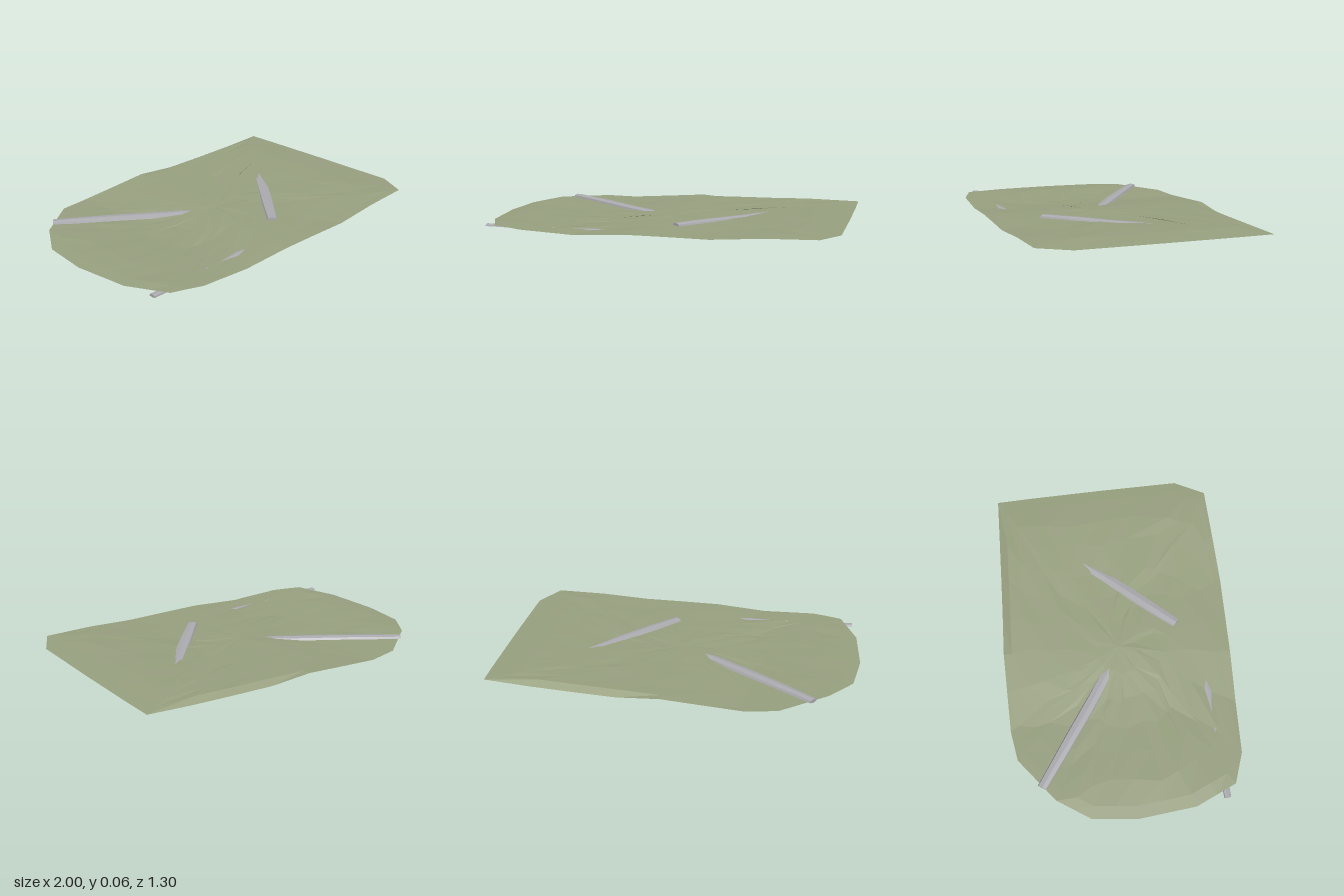
import * as THREE from 'three';

// Height of the ground along x, as straight runs between a few points
const RIDGE = [[-1, 0.011], [-0.85, 0.025], [-0.4, 0.008], [-0.05, 0.034], [0.35, 0.036], [0.78, 0.056], [1, 0.045]];
const OUTLINE = [
  [0.99, -0.61], [0.995, -0.42], [1, 0], [1, 0.46], [0.91, 0.63], [0.35, 0.645], [-0.1, 0.635],
  [-0.7, 0.61], [-0.87, 0.55], [-0.97, 0.32], [-1, 0], [-0.97, -0.26], [-0.85, -0.44],
  [-0.6, -0.63], [-0.43, -0.655], [0.02, -0.655], [0.5, -0.632],
];

function groundHeight(x, z) {
  let i = 0;
  while (i < RIDGE.length - 2 && x > RIDGE[i + 1][0]) i++;
  const [x0, y0] = RIDGE[i], [x1, y1] = RIDGE[i + 1];
  const y = THREE.MathUtils.lerp(y0, y1, THREE.MathUtils.clamp((x - x0) / (x1 - x0), 0, 1));
  // the middle of the patch rises toward the back
  return y - z * 0.018 * Math.max(0, 1 - Math.abs(x - 0.3) / 0.6);
}

// Surface from rows of points joined in strips
function loft(rows, closed) {
  const n = rows[0].length, index = [];
  for (let r = 0; r < rows.length - 1; r++) {
    for (let i = 0; i < (closed ? n : n - 1); i++) {
      const a = r * n + i, b = r * n + (i + 1) % n;
      index.push(a, a + n, b, b, a + n, b + n);
    }
  }
  const g = new THREE.BufferGeometry();
  g.setAttribute('position', new THREE.Float32BufferAttribute(rows.flat(2), 3));
  g.setIndex(index);
  const flat = g.toNonIndexed();
  flat.computeVertexNormals();
  return flat;
}

// Thin uneven patch: the outline shrunk in rings toward the centre
function groundGeometry() {
  let seed = 7;
  const rand = () => ((seed = (seed * 16807) % 2147483647) / 2147483647) - 0.5;
  const edge = [];
  OUTLINE.forEach(([x, z], i) => {
    const [nx, nz] = OUTLINE[(i + 1) % OUTLINE.length];
    edge.push([x, z], [(x + nx) / 2, (z + nz) / 2]);
  });
  const rows = [0, 0.16, 0.32, 0.48, 0.64, 0.8, 0.93, 1].map((s) => edge.map(([ex, ez]) => {
    const inner = s > 0 && s < 0.9;
    const x = ex * s + (inner ? rand() * 0.06 : 0);
    const z = ez * s + (inner ? rand() * 0.06 : 0);
    let y = groundHeight(x, z) + (inner ? rand() * 0.004 : 0);
    // turned-down lip along the back edge
    if (s === 1 && ez < -0.6 && ex > 0.1 && ex < 0.95) y -= 0.024;
    return [x, y, z];
  }));
  return loft(rows.reverse(), true);
}

// Flat ridged shard following a path, narrowing slightly to its ends
function shardGeometry(points, halfWidth, halfHeight) {
  const curve = new THREE.CatmullRomCurve3(points.map((p) => new THREE.Vector3(...p)));
  const section = [[-1, -0.4], [-0.8, 0.7], [0.1, 1], [0.9, 0.5], [1, -0.5], [0, -1]];
  const rows = [];
  const steps = 10;
  const ring = (t, scale) => {
    const p = curve.getPoint(t), d = curve.getTangent(t);
    const side = new THREE.Vector3(-d.z, 0, d.x).normalize();
    const w = halfWidth * scale * (0.8 + 0.2 * Math.sin(Math.PI * t));
    return section.map(([u, v]) => [p.x + side.x * u * w, p.y + v * halfHeight * scale, p.z + side.z * u * w]);
  };
  rows.push(ring(0, 0));
  for (let i = 0; i <= steps; i++) rows.push(ring(i / steps, 1));
  rows.push(ring(1, 0));
  return loft(rows, true);
}

export function createModel() {
  const group = new THREE.Group();
  const moss = new THREE.MeshStandardMaterial({ name: 'mossGreen', color: 0x98a080, side: THREE.DoubleSide, flatShading: true });
  const grey = new THREE.MeshStandardMaterial({ name: 'paleGrey', color: 0xacabb0, side: THREE.DoubleSide, flatShading: true });
  const add = (name, geometry, material) => {
    const mesh = new THREE.Mesh(geometry, material);
    mesh.name = name;
    group.add(mesh);
  };

  add('groundPatch', groundGeometry(), moss);

  // Half-buried shards: each shows above the ground at one end and below at the other
  add('backShard', shardGeometry([[-0.77, 0.025, -0.51], [-0.5, 0.024, -0.32], [-0.24, 0.019, -0.14], [0.22, 0.018, 0.15]], 0.033, 0.011), grey);
  add('middleShard', shardGeometry([[0.1, 0.036, 0.35], [0.25, 0.036, 0.18], [0.4, 0.033, 0.01], [0.72, 0.038, -0.37]], 0.034, 0.01), grey);
  add('frontShard', shardGeometry([[-0.94, 0.013, 0.495], [-0.65, 0.008, 0.485], [-0.38, 0.008, 0.475], [-0.14, 0.01, 0.46], [0.11, 0.012, 0.36]], 0.024, 0.008), grey);

  return group;
}
